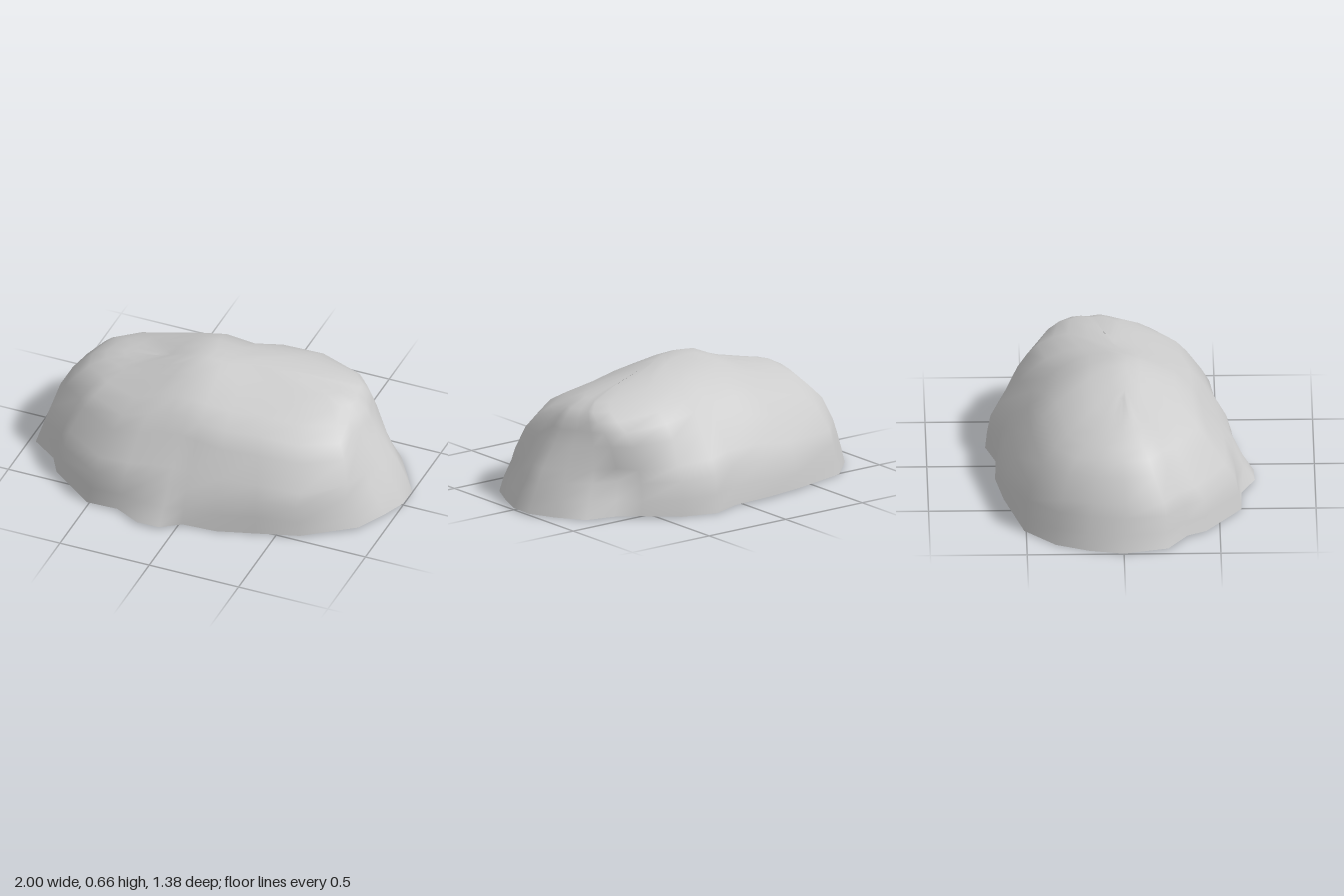
import * as THREE from 'three';

// ground outline as [x, z], running from the left end round the front
const outline = [
  [1, -0.12], [1, 0], [0.95, 0.13], [0.87, 0.29], [0.62, 0.47], [0.4, 0.53], [0.2, 0.59],
  [0.02, 0.59], [-0.08, 0.595], [-0.2, 0.6], [-0.34, 0.61], [-0.51, 0.615], [-0.76, 0.43],
  [-0.82, 0.33], [-0.96, 0.23], [-1, 0], [-0.96, -0.18], [-0.89, -0.35], [-0.73, -0.51],
  [-0.39, -0.61], [-0.17, -0.65], [0.05, -0.645], [0.21, -0.695], [0.4, -0.645],
  [0.58, -0.53], [0.69, -0.45], [0.83, -0.39], [0.92, -0.25],
];

// rings up the stone: [level, scale towards +x, -x, +z, -z]
const rings = [
  [0, 1, 1, 1, 1],
  [0.1, 0.97, 0.97, 0.975, 0.985],
  [0.2, 0.93, 0.94, 0.95, 0.95],
  [0.28, 0.89, 0.915, 0.86, 0.89],
  [0.42, 0.8, 0.85, 0.7, 0.76],
  [0.5, 0.76, 0.79, 0.61, 0.65],
  [0.56, 0.73, 0.74, 0.46, 0.54],
  [0.61, 0.68, 0.66, 0.28, 0.4],
  [0.64, 0.58, 0.56, 0.16, 0.27],
  [0.66, 0.3, 0.38, 0.05, 0.1],
];

// height of the crest along x
const crest = [[-1, 0.56], [-0.53, 0.56], [-0.38, 0.57], [-0.2, 0.65], [-0.08, 0.66],
  [0.1, 0.635], [0.4, 0.6], [0.68, 0.56], [1, 0.54]];

function crestAt(x) {
  for (let i = 1; i < crest.length; i++) {
    const [x0, y0] = crest[i - 1], [x1, y1] = crest[i];
    if (x <= x1) return y0 + (y1 - y0) * Math.max(0, (x - x0) / (x1 - x0));
  }
  return crest[crest.length - 1][1];
}

const bell = (d, width) => Math.exp(-((d / width) ** 2));

// one point of the weathered surface
function surfacePoint([bx, bz], [level, right, left, front, back]) {
  let x = bx * (bx > 0 ? right : left);
  let z = bz * (bz > 0 ? front : back);
  const t = level / 0.66;

  // fuller upper shoulders, most of all at the front left
  const a = Math.atan2(bz / 0.65, bx);
  const shoulder = bx > 0 ? (bz > 0 ? 0.14 : 0.02) : (bz > 0 ? 0.03 : 0.06);
  const full = 1 + shoulder * Math.sin(2 * a) ** 2 * Math.sin(Math.PI * t ** 1.7);
  x *= full;
  z *= full;

  // the crest swings backwards towards the left end
  z -= 0.06 * t ** 3 * THREE.MathUtils.smoothstep(bx, 0, 0.5);

  if (bz < 0) {
    // ridge leaning out to the high back left corner, with a sunken face beneath it
    x += 0.25 * t * t * bell(bx - 0.62, 0.25);
    z -= 0.07 * t * t * bell(bx - 0.5, 0.16);
    const sink = 0.06 * bell(bx - 0.74, 0.14) * bell(level - 0.22, 0.14);
    x -= sink;
    z += sink;
    // shallow dip across the middle of the back
    z += 0.04 * bell(bx + 0.05, 0.25) * bell(t - 0.75, 0.25);
  } else {
    // foot jutting out at the front, and two shallow hollows
    z += 0.115 * bell(bx + 0.14, 0.12) * Math.max(0, 1 - level / 0.2);
    z -= 0.03 * bell(bx - 0.4, 0.2) * bell(level - 0.24, 0.1);
    x -= 0.04 * bell(bx - 0.87, 0.12) * bell(level - 0.22, 0.1);
  }

  // gentle unevenness, fading out at the ground
  const rough = 0.008 * Math.sin(Math.PI * t);
  z += rough * Math.sin(9 * bx + 14 * level);
  const lift = level === 0 ? 0.006 + 0.006 * Math.sin(7 * bx + 5 * bz) : 0;
  const y = level * crestAt(x) / 0.66 + lift + rough * 0.7 * Math.sin(8 * bz + 5 * bx);
  return [x, y, z];
}

export function createModel() {
  const group = new THREE.Group();
  group.name = 'boulder';

  const n = outline.length;
  const positions = [];
  const index = [];
  for (const ring of rings) {
    for (const p of outline) positions.push(...surfacePoint(p, ring));
  }
  for (let i = 0; i < rings.length - 1; i++) {
    for (let j = 0; j < n; j++) {
      const a = i * n + j, b = i * n + (j + 1) % n;
      index.push(a, a + n, b, b, a + n, b + n);
    }
  }
  // close the crown by joining front and back of the last ring; the underside stays open
  const last = (rings.length - 1) * n;
  for (let k = 0; k < n / 2 - 1; k++) {
    const f = last + k + 1, g = last + k + 2;
    const b = last + (n - k) % n, c = last + n - k - 1;
    index.push(f, b, g, g, b, c);
  }

  const geometry = new THREE.BufferGeometry();
  geometry.setAttribute('position', new THREE.Float32BufferAttribute(positions, 3));
  geometry.setIndex(index);
  geometry.computeVertexNormals();

  const stone = new THREE.Mesh(geometry,
    new THREE.MeshStandardMaterial({ color: 0xcccccc, side: THREE.DoubleSide }));
  stone.name = 'stoneShell';
  group.add(stone);
  return group;
}
